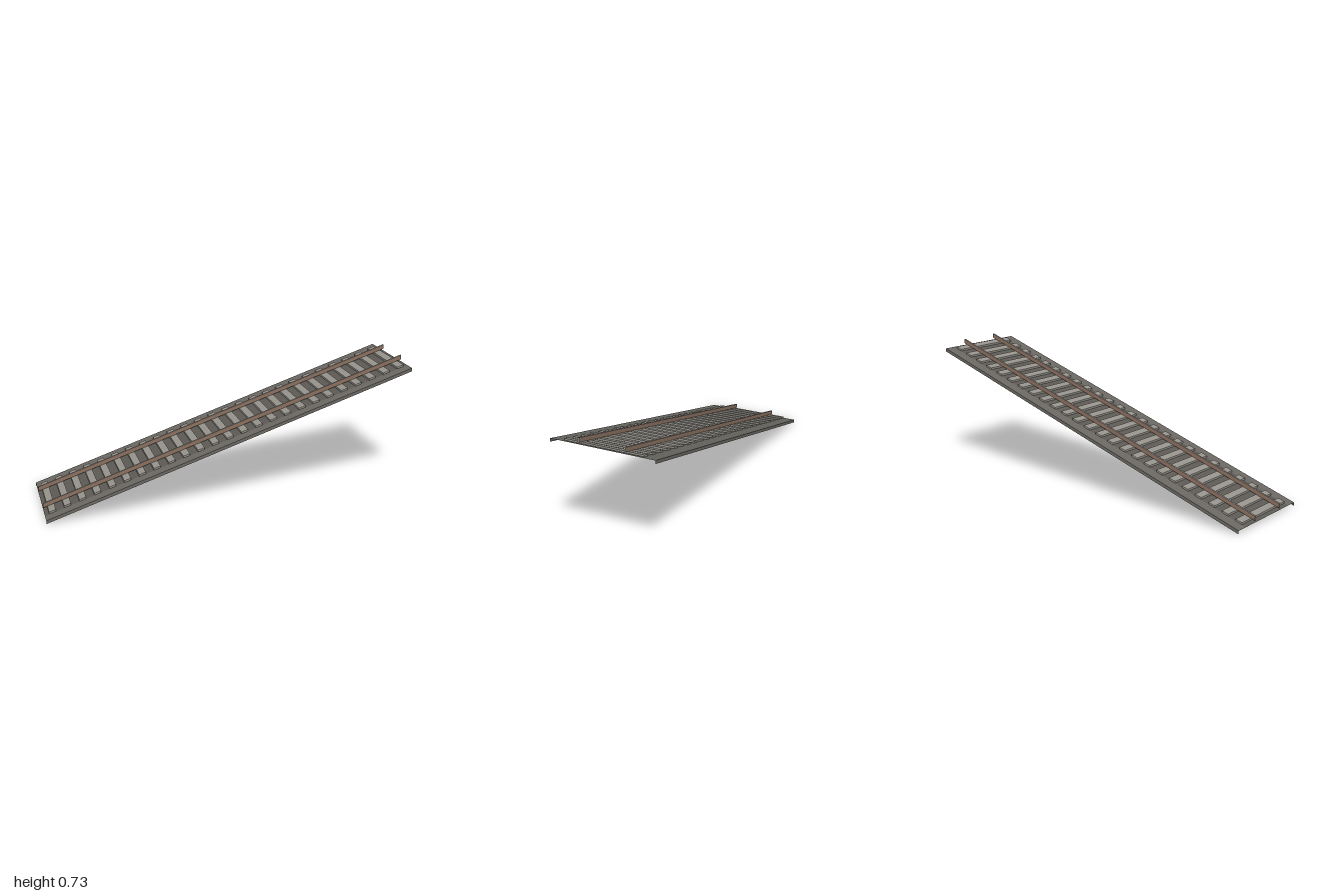
import * as THREE from 'three';

const SLOPE = 0.336; // rise per unit of x
const BED_MID = 0.354; // height of the bed surface at x = 0
const HALF_WIDTH = 0.275;
const SLEEPER_HALF = 0.21;

const mat = (name, color, side = THREE.FrontSide) => {
  const m = new THREE.MeshStandardMaterial({ color, side });
  m.name = name;
  return m;
};

export function createModel() {
  const track = new THREE.Group();
  track.name = 'slopedTrack';

  const gravel = mat('gravel grey', 0x6b6863, THREE.DoubleSide);
  const darkGravel = mat('dark gravel', 0x5d5a56, THREE.DoubleSide);
  const concrete = mat('sleeper concrete', 0x96938c);
  const rust = mat('rusty rail side', 0x8a7060);
  const steel = mat('rail steel', 0xa6a5a6);

  // Raise each vertex along the slope, keeping end faces upright
  const add = (name, geometry, material) => {
    const p = geometry.attributes.position;
    for (let i = 0; i < p.count; i++) {
      p.setY(i, p.getY(i) + BED_MID + SLOPE * p.getX(i));
    }
    geometry.computeVertexNormals();
    const mesh = new THREE.Mesh(geometry, material);
    mesh.name = name;
    track.add(mesh);
    return mesh;
  };

  // Flat strip lying on the slope
  const strip = (name, width, z, material) => {
    const g = new THREE.PlaneGeometry(2, width).rotateX(-Math.PI / 2).translate(0, 0, z);
    add(name, g, material);
  };

  // Bed between the sleeper ends
  strip('bedCentre', SLEEPER_HALF * 2, 0, darkGravel);

  for (const side of [1, -1]) {
    const label = side > 0 ? 'front' : 'back';

    // Bed shoulder and its thin upright edge
    strip(label + 'Shoulder', HALF_WIDTH - SLEEPER_HALF, side * (HALF_WIDTH + SLEEPER_HALF) / 2, gravel);
    const skirt = new THREE.PlaneGeometry(2, 0.018);
    if (side < 0) skirt.rotateY(Math.PI);
    add(label + 'Skirt', skirt.translate(0, -0.009, side * HALF_WIDTH), gravel);

    // Rail with rusty sides and bare steel top and ends
    const rail = new THREE.BoxGeometry(2, 0.024, 0.01).translate(0, 0.023, side * 0.121);
    add(label + 'Rail', rail, [steel, steel, steel, rust, rust, rust]);
  }

  // Evenly spaced sleepers
  for (let i = 0; i < 25; i++) {
    const g = new THREE.BoxGeometry(0.036, 0.01, SLEEPER_HALF * 2);
    add('sleeper' + (i + 1), g.translate(-0.96 + i * 0.08, 0.0062, 0), concrete);
  }

  return track;
}
